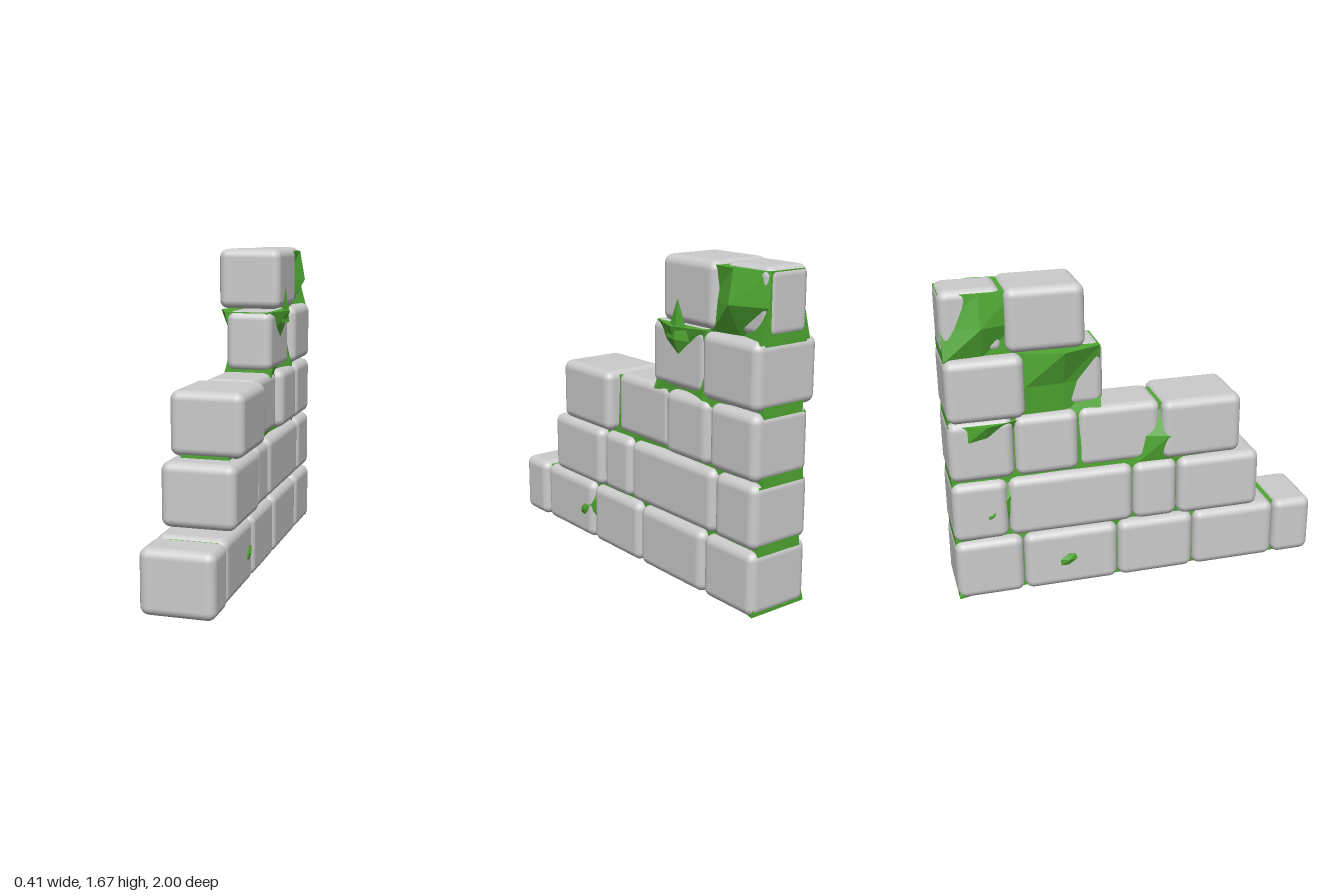
import * as THREE from 'three';
import { RoundedBoxGeometry } from 'three/addons/geometries/RoundedBoxGeometry.js';

const ROW = 0.3345; // height of one course

// Per course: z of the joints from front to back, and the usual x range of its bricks
const COURSES = [
  { joints: [1, 0.775, 0.302, -0.125, -0.637, -1], left: -0.18, right: 0.185 },
  { joints: [0.67, 0.205, -0.04, -0.707, -1], left: -0.18, right: 0.18 },
  { joints: [0.56, 0.118, -0.328, -0.662, -1], left: -0.17, right: 0.18 },
  { joints: [-0.18, -0.602, -1], left: -0.21, right: 0.18 },
  { joints: [-0.285, -0.687, -1], left: -0.185, right: 0.165 },
];

// Bricks with their own x range: course-index
const SPECIAL = {
  '0-0': [-0.18, 0.195], '1-0': [-0.19, 0.195], '2-0': [-0.18, 0.203],
  '2-1': [-0.145, 0.145], '3-0': [-0.112, 0.145], '4-1': [-0.14, 0.118],
};

// Mortar of each course: front z, segments along z, bottom y, top y
const MORTAR = [
  [0.97, 10, 0.008, 0.315],
  [0.55, 8, 0.3, 0.65],
  [0.54, 8, 0.64, 0.98],
  [-0.2, 4, 0.97, 1.33],
  [-0.62, 2, 1.32, 1.65],
];

// Moss lumps: course, side (0 = both), z, level 0-2, distance from the middle
const LUMPS = [
  [0, 1, 0.4, 1, 0.198], [0, -1, -0.4, 1, 0.195], [0, 0, -0.99, 0, 0.172],
  [1, -1, -0.8, 1, 0.185], [2, -1, -0.8, 2, 0.2], [2, -1, 0.16, 1, 0.18],
  [3, 0, -0.4, 2, 0.2], [3, 0, -0.4, 1, 0.132], [3, 0, -0.2, 2, 0.12],
  [3, 0, -0.2, 1, 0.08], [3, 0, -0.6, 2, 0.14], [3, 1, -0.6, 0, 0.165],
  [4, 0, -0.8, 1, 0.19], [4, 0, -0.8, 2, 0.16], [4, 1, -0.8, 0, 0.1],
  [4, 0, -0.99, 2, 0.1], [4, 0, -0.99, 1, 0.112], [4, 0, -0.99, 0, 0.155],
];

// Repeatable value in 0..1
const noise = (a, b, c) => {
  const s = Math.sin(a * 12.99 + b * 78.23 + c * 37.72) * 43758.55;
  return s - Math.floor(s);
};

function brick(z0, z1, x0, x1, row, material) {
  const geometry = new RoundedBoxGeometry(x1 - x0, 0.328, z0 - z1 - 0.005, 4, 0.046);
  const mesh = new THREE.Mesh(geometry, material);
  mesh.position.set((x0 + x1) / 2, row * ROW + 0.167, (z0 + z1) / 2);
  mesh.name = 'brick';
  return mesh;
}

// Segmented block whose side vertices are moved in and out into a rough core
function mortar(row, material) {
  const [z0, n, y0, y1] = MORTAR[row];
  const geometry = new THREE.BoxGeometry(2, 2, n, 1, 2, n);
  const p = geometry.attributes.position;
  const step = (z0 + 0.992) / n;
  for (let i = 0; i < p.count; i++) {
    const side = Math.sign(p.getX(i));
    const level = Math.round(p.getY(i) + 1);
    const station = Math.round(n / 2 - p.getZ(i));
    const lump = LUMPS.find(([r, s, z, l]) => r === row && s !== -side && l === level
      && Math.round((z0 - z) / step) === station);
    const x = lump ? lump[4] : 0.115 + 0.028 * noise(row * 3 + level, station, side);
    p.setXYZ(i, side * x, y0 + (y1 - y0) * level / 2, z0 - station * step);
  }
  geometry.computeVertexNormals();
  const mesh = new THREE.Mesh(geometry, material);
  mesh.name = 'mortar';
  return mesh;
}

export function createModel() {
  const group = new THREE.Group();
  group.name = 'ruinedWall';
  const stone = new THREE.MeshStandardMaterial({ color: 0xcccccc });
  const moss = new THREE.MeshStandardMaterial({ color: 0x4fa832, flatShading: true });

  COURSES.forEach(({ joints, left, right }, row) => {
    const course = new THREE.Group();
    course.name = 'course' + (row + 1);
    for (let i = 0; i < joints.length - 1; i++) {
      const [x0, x1] = SPECIAL[row + '-' + i] ?? [left, right];
      course.add(brick(joints[i], joints[i + 1], x0, x1, row, stone));
    }
    course.add(mortar(row, moss));
    group.add(course);
  });

  // Moss spike climbing onto the upper front brick
  const spike = new THREE.Mesh(new THREE.ConeGeometry(0.09, 0.2, 4), moss);
  spike.scale.x = 0.25;
  spike.position.set(0.168, 1.365, -0.42);
  spike.name = 'mossSpike';
  group.add(spike);
  return group;
}
